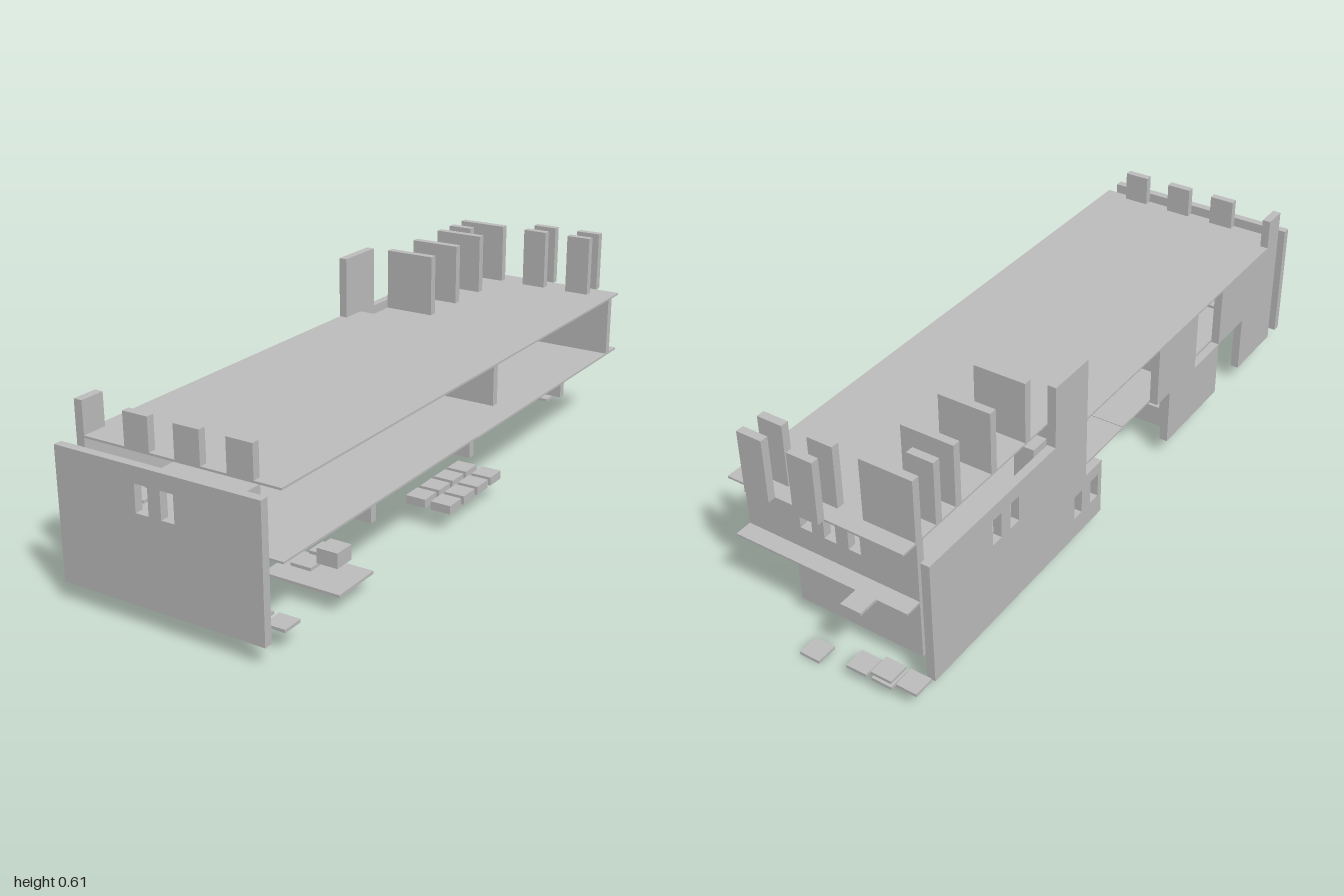
import * as THREE from 'three';

export function createModel() {
  const model = new THREE.Group();
  model.name = 'ruinedBuilding';
  const stone = new THREE.MeshStandardMaterial({ color: 0xbfbfbf });
  stone.name = 'grey stone';

  const add = (name, geometry) => {
    const mesh = new THREE.Mesh(geometry, stone);
    mesh.name = name;
    model.add(mesh);
    return mesh;
  };
  // Box given by its limits on each axis
  const box = (name, x0, x1, y0, y1, z0, z1) =>
    add(name, new THREE.BoxGeometry(x1 - x0, y1 - y0, z1 - z0)
      .translate((x0 + x1) / 2, (y0 + y1) / 2, (z0 + z1) / 2));

  const polygon = (Type, pts) => new Type(pts.map(([x, y]) => new THREE.Vector2(x, y)));
  // Outline with rectangular openings [a0, a1, y0, y1]
  const panel = (outline, holes, depth) => {
    const shape = polygon(THREE.Shape, outline);
    for (const [a, b, c, d] of holes)
      shape.holes.push(polygon(THREE.Path, [[a, c], [a, d], [b, d], [b, c]]));
    return new THREE.ExtrudeGeometry(shape, { depth, bevelEnabled: false });
  };
  const rect = (a, b, c, d) => [[a, c], [b, c], [b, d], [a, d]];
  // Wall running across the building
  const crossWall = (name, x0, x1, y0, y1, z, holes = []) =>
    add(name, panel(rect(x0, x1, y0, y1), holes, 0.025).translate(0, 0, z));
  // Wall running along the left side, outline in (z, y)
  const sideWall = (name, outline, holes = []) =>
    add(name, panel(outline, holes, 0.025).rotateY(-Math.PI / 2).translate(-0.285, 0, 0));
  const windows = (start, count, y0, y1) =>
    Array.from({ length: count }, (_, i) => [start + i * 0.077, start + i * 0.077 + 0.038, y0, y1]);

  const G = 0.06, F = 0.236, R = 0.422, TOP = 0.612;

  // Floor and roof slabs, with a narrow slot along the back of the left wall
  const slab = (name, left, y, z0, z1, thick) => {
    const pts = z0 < -0.5
      ? [[-0.235, 0.933], [0.31, 0.933], [0.31, -z1], [left, -z1], [left, 0.315], [-0.235, 0.315]]
      : rect(left, 0.31, -z1, -z0);
    add(name, panel(pts, [], thick).rotateX(-Math.PI / 2).translate(0, y, 0));
  };
  slab('upperFloorFront', -0.285, F + 0.002, 0, 0.92, 0.006);
  slab('upperFloorBack', -0.285, F, -0.933, 0, 0.006);
  slab('roof', -0.31, R, -0.933, 0.92, 0.006);

  // Detached front wall
  crossWall('frontWall', -0.31, 0.31, 0.058, 0.427, 0.973,
    [[-0.06, -0.02, 0.306, 0.382], [0.018, 0.058, 0.306, 0.382]]);

  // Left side wall in broken sections
  sideWall('leftWallBack',
    [[-0.933, G], [-0.155, G], [-0.155, F], [-0.238, F], [-0.238, TOP], [-0.393, TOP], [-0.393, 0.427], [-0.933, 0.427]],
    [[-0.6, -0.562, 0.308, 0.385], [-0.678, -0.64, 0.308, 0.385],
      [-0.213, -0.173, 0.125, 0.2], [-0.295, -0.257, 0.125, 0.2]]);
  sideWall('leftWallFront',
    [[0.7, G], [0.92, G], [0.92, 0.422], [0.54, 0.422], [0.54, F], [0.7, F]]);
  sideWall('leftWallMiddleLower', rect(0.23, 0.54, G, F));
  sideWall('leftWallMiddleUpper', rect(0.155, 0.385, F, R));

  // Cross walls, lower storey
  crossWall('lowerCrossWallFront', -0.285, 0.155, G, F, 0.285, windows(-0.25, 5, 0.125, 0.2));
  crossWall('lowerCrossWallMiddle', -0.285, 0.155, G, F, -0.26, windows(-0.25, 5, 0.125, 0.2));
  crossWall('lowerBackWall', -0.235, 0.155, G, F, -0.882);
  // Cross walls, upper storey
  crossWall('upperCrossWallFront', -0.285, -0.08, F, R, 0.285);
  crossWall('upperCrossWallMiddle', -0.285, 0.23, F, R, -0.26);
  crossWall('upperBackWall', -0.235, 0.31, F, R, -0.882, windows(-0.06, 3, 0.308, 0.385));

  // Front battlements
  for (const x of [-0.155, 0, 0.155]) box('frontMerlon', x, x + 0.077, 0.427, 0.52, 0.897, 0.92);
  box('cornerMerlon', -0.31, -0.285, 0.422, 0.52, 0.845, 0.92);

  // Back battlements and roof partitions
  for (const x of [0, 0.155]) {
    box('backMerlonInner', x, x + 0.077, 0.427, TOP, -0.884, -0.86);
    box('backMerlonOuter', x, x + 0.077, 0.427, TOP, -0.957, -0.933);
  }
  for (const [z, x1] of [[-0.86, -0.078], [-0.78, -0.157], [-0.7, -0.078], [-0.548, -0.078], [-0.395, -0.078]])
    box('roofPartition', -0.235, x1, 0.427, TOP, z - 0.024, z);

  // Loose square pieces: corner position, bottom and height
  const piece = (name, x, y, z, h) => box(name, x, x + 0.062, y, y + h, z, z + 0.062);
  const T = 0.009;
  for (const [x, y] of [[-0.303, G], [-0.226, G], [-0.226, 0.04], [-0.148, 0.04], [0.006, 0.002], [-0.148, 0.244]])
    piece('backTile', x, y, -1, T);
  for (const z of [-0.457, -0.535, -0.612, -0.767]) piece('lowerTile', -0.235, G, z, T);
  for (const z of [-0.38, -0.69]) piece('lowerCrate', -0.235, G, z, 0.04);
  for (const z of [-0.535, -0.767]) piece('upperTile', -0.235, 0.242, z, T);
  for (const z of [0.783, 0.705]) piece('upperFrontTile', -0.235, 0.244, z, T);
  for (const x of [0.247, 0.17, 0.093]) piece('frontTile', x, G - 0.001, 0.857, T);
  piece('lowerCabinet', -0.065, G, 0.857, 0.135);
  piece('upperCabinet', 0.14, 0.244, 0.857, 0.146);
  piece('upperCabinetBack', -0.235, 0.242, -0.38, 0.138);

  // Grid of eight blocks on the right
  for (const x of [0.165, 0.245])
    for (let i = 0; i < 4; i++) piece('block', x, G, -0.148 + i * 0.0775, 0.025);

  // Fallen floor piece with loose parts above it
  box('fallenSlab', 0.077, 0.31, 0.05, 0.058, 0.54, 0.695);
  piece('fallenBox', 0.24, 0.125, 0.628, 0.042);
  for (const z of [0.628, 0.548]) piece('fallenTile', 0.16, 0.097, z, T);

  // Set the footing exactly on the ground
  const low = new THREE.Box3().setFromObject(model).min.y;
  model.children.forEach((m) => { m.position.y -= low; });
  return model;
}
